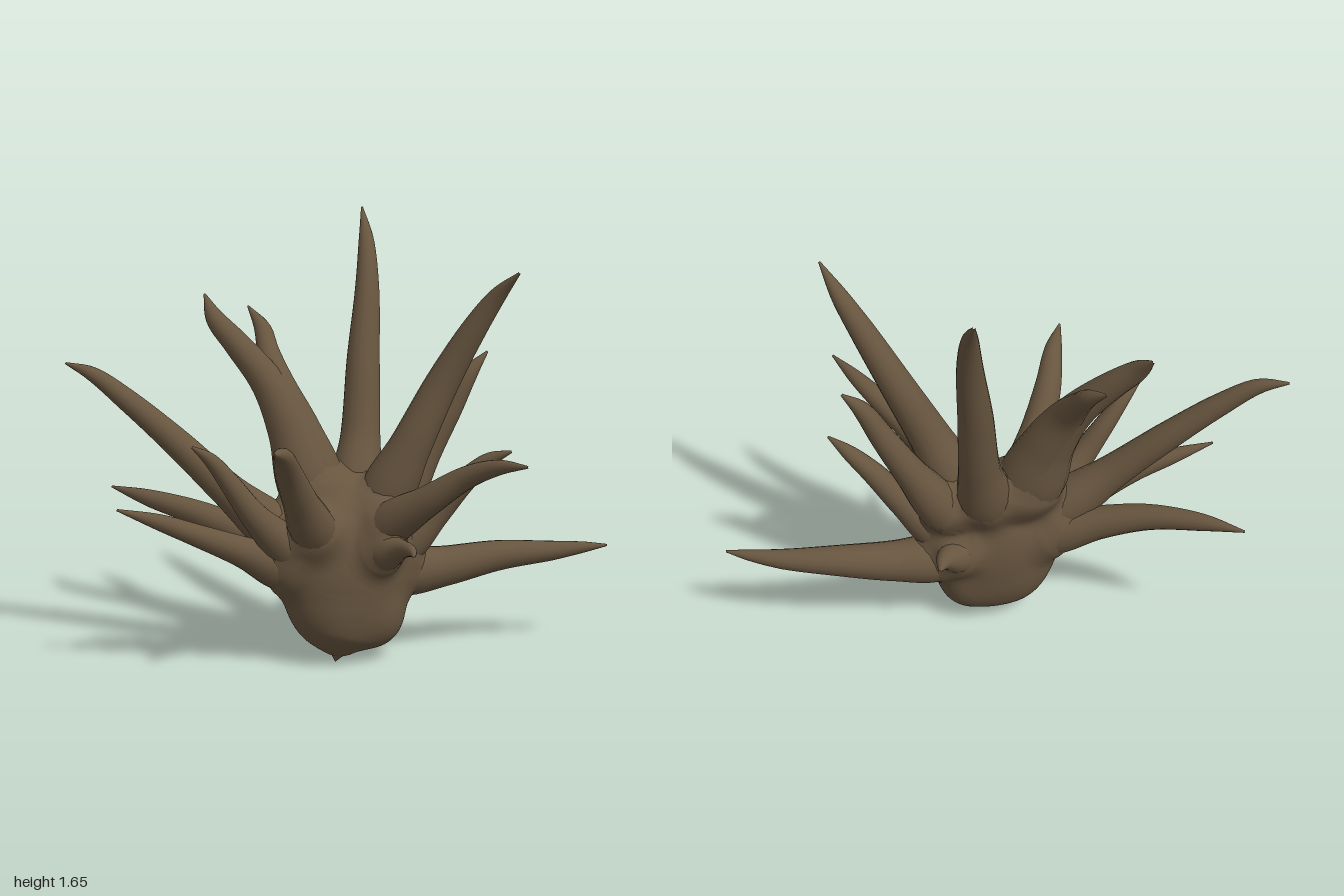
import * as THREE from 'three';
import { mergeVertices } from 'three/addons/utils/BufferGeometryUtils.js';

const bark = new THREE.MeshStandardMaterial({ color: 0x67553f });

// Weld the seams so that shading runs smoothly all the way round
function smooth(geometry) {
  geometry.deleteAttribute('uv');
  geometry.deleteAttribute('normal');
  const welded = mergeVertices(geometry, 1e-5);
  welded.computeVertexNormals();
  return welded;
}

// Curved horn through points [x, y, z, radius], root to tip
function horn(points) {
  const path = new THREE.CatmullRomCurve3(points.map(p => new THREE.Vector3(p[0], p[1], p[2])));
  const radii = new THREE.CatmullRomCurve3(points.map((p, i) => new THREE.Vector3(p[3], i * 0.15, 0)));
  const rings = 40, sides = 16;
  const geometry = new THREE.TubeGeometry(path, rings, 1, sides, false);
  const pos = geometry.attributes.position, v = new THREE.Vector3();
  for (let i = 0; i <= rings; i++) {
    const centre = path.getPointAt(i / rings);
    const r = Math.max(0.002, radii.getPoint(path.getUtoTmapping(i / rings)).x);
    for (let j = 0; j <= sides; j++) {
      const k = i * (sides + 1) + j;
      v.fromBufferAttribute(pos, k).sub(centre).multiplyScalar(r).add(centre);
      pos.setXYZ(k, v.x, v.y, v.z);
    }
  }
  return smooth(geometry);
}

const horns = {
  rootTip: [[0, 0.2, -0.02, 0.02], [-0.02, 0.11, -0.015, 0.07], [-0.04, 0.045, -0.01, 0.034], [-0.05, 0.005, -0.01, 0.002]],
  tallBackHorn: [[0.02, 0.42, -0.08, 0.03], [0.06, 0.62, -0.14, 0.1], [0.1, 0.82, -0.21, 0.076],
    [0.13, 1.1, -0.28, 0.063], [0.165, 1.35, -0.355, 0.047], [0.185, 1.53, -0.44, 0.03], [0.195, 1.65, -0.54, 0.004]],
  tallLeftHorn: [[0.05, 0.42, -0.05, 0.03], [0.14, 0.62, -0.02, 0.1], [0.23, 0.82, 0.02, 0.078],
    [0.34, 1.05, 0.045, 0.062], [0.44, 1.25, 0.1, 0.047], [0.51, 1.38, 0.16, 0.031], [0.56, 1.47, 0.25, 0.004]],
  upperLeftHorn: [[0.1, 0.4, -0.08, 0.03], [0.21, 0.57, -0.1, 0.085], [0.33, 0.77, -0.11, 0.06],
    [0.42, 0.93, -0.1, 0.046], [0.49, 1.06, -0.09, 0.032], [0.56, 1.14, -0.09, 0.004]],
  middleLeftHorn: [[0.1, 0.33, -0.05, 0.03], [0.22, 0.43, -0.04, 0.08], [0.34, 0.555, -0.01, 0.055],
    [0.44, 0.68, 0.03, 0.042], [0.52, 0.76, 0.07, 0.028], [0.585, 0.8, 0.13, 0.004]],
  frontLeftHorn: [[0.02, 0.38, -0.02, 0.03], [0.12, 0.54, 0.1, 0.08], [0.23, 0.66, 0.24, 0.057],
    [0.34, 0.76, 0.34, 0.042], [0.42, 0.815, 0.45, 0.028], [0.485, 0.84, 0.58, 0.004]],
  lowLeftHorn: [[0.08, 0.3, -0.06, 0.03], [0.23, 0.315, -0.07, 0.09], [0.4, 0.33, -0.065, 0.076],
    [0.6, 0.36, -0.05, 0.058], [0.8, 0.375, -0.01, 0.038], [0.92, 0.39, 0.025, 0.021], [1.0, 0.4, 0.055, 0.004]],
  frontThorn: [[0.06, 0.4, 0.02, 0.03], [0.1, 0.45, 0.12, 0.072], [0.135, 0.485, 0.23, 0.036],
    [0.145, 0.5, 0.32, 0.02], [0.13, 0.5, 0.41, 0.003]],
  backThorn: [[0.1, 0.34, -0.08, 0.03], [0.17, 0.385, -0.15, 0.07], [0.23, 0.41, -0.205, 0.035], [0.26, 0.41, -0.255, 0.004]],
  forkedHornOuter: [[-0.05, 0.42, -0.07, 0.03], [-0.12, 0.65, -0.12, 0.115], [-0.175, 0.86, -0.17, 0.09],
    [-0.248, 1.03, -0.23, 0.066], [-0.35, 1.17, -0.3, 0.05], [-0.42, 1.26, -0.36, 0.036], [-0.445, 1.345, -0.44, 0.004]],
  forkedHornInner: [[-0.03, 0.42, -0.07, 0.03], [-0.08, 0.65, -0.12, 0.1], [-0.15, 0.86, -0.175, 0.085],
    [-0.207, 1.02, -0.24, 0.063], [-0.225, 1.13, -0.33, 0.043], [-0.23, 1.21, -0.41, 0.032], [-0.265, 1.285, -0.505, 0.004]],
  highRightHorn: [[-0.08, 0.35, -0.05, 0.03], [-0.23, 0.48, -0.09, 0.095], [-0.42, 0.65, -0.135, 0.066],
    [-0.6, 0.83, -0.2, 0.053], [-0.77, 0.985, -0.26, 0.041], [-0.89, 1.08, -0.31, 0.027], [-0.98, 1.115, -0.365, 0.004]],
  middleRightHorn: [[-0.08, 0.34, 0, 0.03], [-0.21, 0.44, 0.02, 0.08], [-0.36, 0.59, 0.06, 0.052],
    [-0.46, 0.73, 0.07, 0.037], [-0.53, 0.82, 0.085, 0.025], [-0.6, 0.875, 0.11, 0.004]],
  frontRightHorn: [[-0.06, 0.38, -0.02, 0.03], [-0.15, 0.53, 0.08, 0.085], [-0.225, 0.67, 0.18, 0.064],
    [-0.285, 0.79, 0.27, 0.05], [-0.33, 0.875, 0.37, 0.034], [-0.385, 0.91, 0.48, 0.004]],
  lowRightHorn: [[-0.08, 0.3, -0.03, 0.03], [-0.24, 0.375, -0.01, 0.085], [-0.4, 0.455, 0.01, 0.058],
    [-0.55, 0.52, 0.01, 0.043], [-0.7, 0.58, -0.01, 0.03], [-0.85, 0.63, -0.03, 0.004]],
  backRightHorn: [[-0.07, 0.33, -0.06, 0.03], [-0.2, 0.395, -0.12, 0.085], [-0.36, 0.475, -0.2, 0.063],
    [-0.52, 0.54, -0.29, 0.048], [-0.68, 0.58, -0.41, 0.032], [-0.8, 0.605, -0.525, 0.004]],
};

// Short tapered stubs at the horn roots and a keel below, all melted into the body
const stub = (a, b, ra, rb) => ({ a, dir: b.clone().sub(a), ra, rb });
const stubs = Object.values(horns).map(([, p, q]) => {
  const a = new THREE.Vector3(p[0], p[1], p[2]);
  const b = new THREE.Vector3(q[0], q[1], q[2]).lerp(a, 0.3);
  return stub(a, b, p[3], q[3] * 0.65);
});
stubs.push(stub(new THREE.Vector3(-0.05, 0.19, -0.03), new THREE.Vector3(0.1, 0.165, -0.03), 0.12, 0.11));

const heart = new THREE.Vector3(-0.015, 0.36, -0.035);
const size = new THREE.Vector3(0.245, 0.31, 0.17);
const size2 = size.clone().multiply(size);

// Signed distance to the ellipsoid blended with every stub
function distance(p) {
  const q = p.clone().sub(heart);
  const k0 = q.clone().divide(size).length();
  let d = k0 * (k0 - 1) / q.divide(size2).length();
  for (const s of stubs) {
    q.copy(p).sub(s.a);
    const h = THREE.MathUtils.clamp(q.dot(s.dir) / s.dir.lengthSq(), 0, 1);
    const e = q.addScaledVector(s.dir, -h).length() - THREE.MathUtils.lerp(s.ra, s.rb, h);
    const blend = Math.max(0.08 - Math.abs(d - e), 0) / 0.08;
    d = Math.min(d, e) - blend * blend * 0.02;
  }
  return d;
}

// Sphere whose vertices move outward from the heart until they meet the blended surface
function body() {
  const geometry = new THREE.SphereGeometry(1, 160, 110);
  const pos = geometry.attributes.position;
  const dir = new THREE.Vector3(), p = new THREE.Vector3();
  for (let k = 0; k < pos.count; k++) {
    dir.fromBufferAttribute(pos, k);
    let reach = 0.05;
    for (let step = 0; step < 40; step++) {
      const d = distance(p.copy(heart).addScaledVector(dir, reach));
      if (d > -0.0005) break;
      reach -= d * 0.8;
    }
    p.copy(heart).addScaledVector(dir, reach);
    pos.setXYZ(k, p.x, p.y, p.z);
  }
  return smooth(geometry);
}

export function createModel() {
  const model = new THREE.Group();
  const add = (name, geometry) => {
    const mesh = new THREE.Mesh(geometry, bark);
    mesh.name = name;
    model.add(mesh);
  };
  add('body', body());
  // Horns fanning out from the body
  for (const [name, points] of Object.entries(horns)) add(name, horn(points));
  return model;
}
